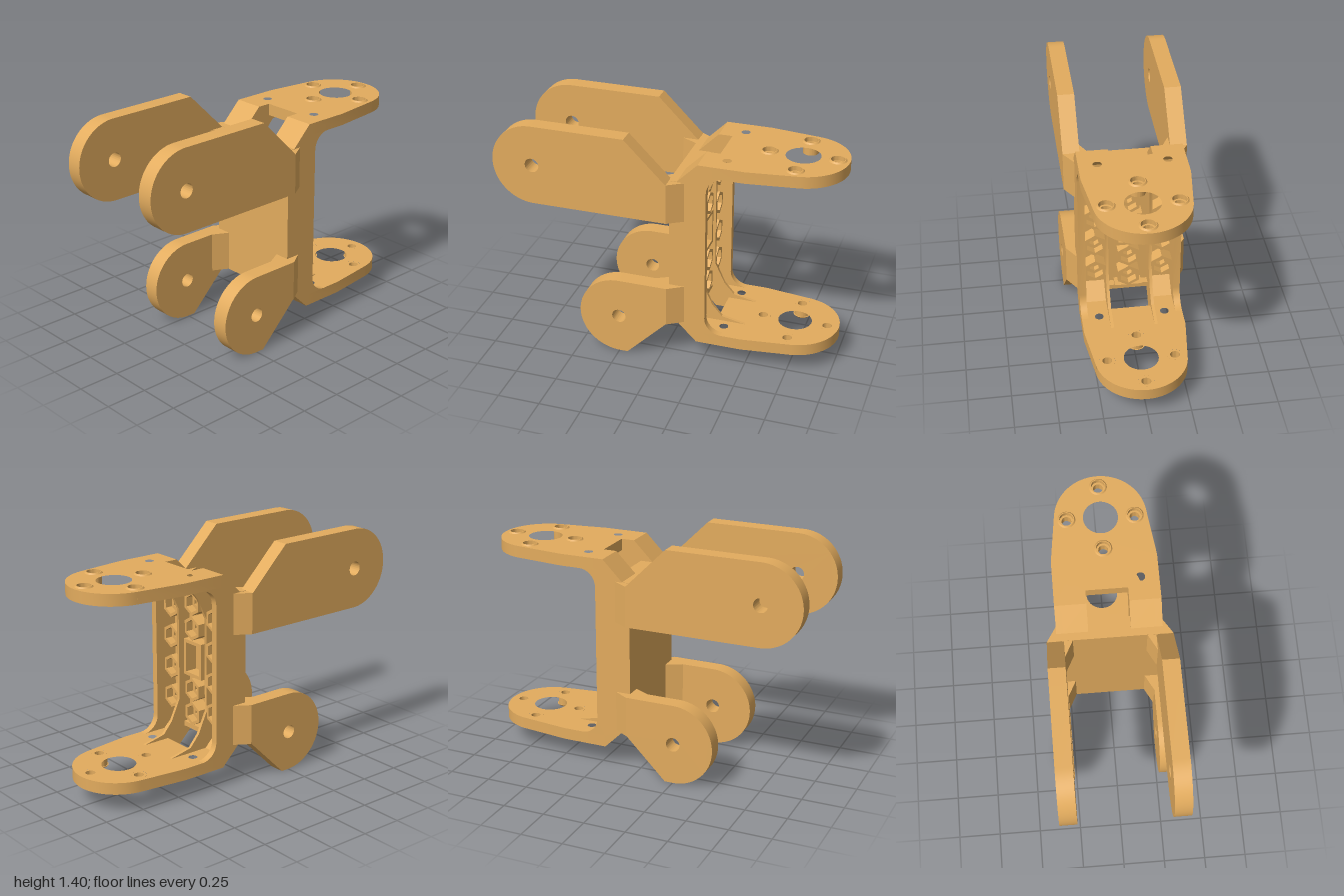
import * as THREE from 'three';
import { toCreasedNormals } from 'three/addons/utils/BufferGeometryUtils.js';

const material = new THREE.MeshStandardMaterial({ color: 0xe3ac5e });
const MID = 0.7; // height of the horizontal symmetry plane

function part(name, geometry, parent) {
  const mesh = new THREE.Mesh(toCreasedNormals(geometry, 0.6), material);
  mesh.name = name;
  parent.add(mesh);
  return mesh;
}

const polygon = (pts) => new THREE.Shape(pts.map(([a, b]) => new THREE.Vector2(a, b)));

function hole(shape, a, b, r) {
  shape.holes.push(new THREE.Path().absarc(a, b, r, 0, Math.PI * 2, true));
}

const extrude = (shape, depth) =>
  new THREE.ExtrudeGeometry(shape, { depth, bevelEnabled: false, curveSegments: 24 });

// Side profile (z, y) spanning x0..x1
const alongX = (shape, x0, x1) => extrude(shape, x1 - x0).rotateY(-Math.PI / 2).translate(x1, 0, 0);
// Plan profile (x, z) spanning y0..y1
const alongY = (shape, y0, y1) => extrude(shape, y1 - y0).rotateX(Math.PI / 2).translate(0, y1, 0);

function box(name, x0, x1, y0, y1, z0, z1, parent) {
  const g = new THREE.BoxGeometry(x1 - x0, y1 - y0, z1 - z0);
  g.translate((x0 + x1) / 2, (y0 + y1) / 2, (z0 + z1) / 2);
  part(name, g, parent);
}

// Mirror a half profile in y to close a symmetric outline
const mirrored = (half) => [...half, ...half.slice().reverse().map(([z, y]) => [z, 2 * MID - y])];

function addFlange(parent) {
  const s = new THREE.Shape();
  s.moveTo(0.12, -0.21);
  s.lineTo(0.3, -0.21);
  s.lineTo(0.3, -0.48);
  s.lineTo(0.263, -0.77);
  s.absarc(0, -0.735, 0.265, -0.132, -Math.PI + 0.132, true);
  s.lineTo(-0.3, -0.48);
  s.lineTo(-0.3, -0.21);
  s.lineTo(-0.12, -0.21);
  s.lineTo(-0.12, -0.29);
  s.lineTo(0.12, -0.29);
  s.closePath();

  const screws = [[0, -0.93], [0, -0.54], [0.195, -0.735], [-0.195, -0.735]];
  hole(s, 0, -0.735, 0.1);
  for (const [x, z] of screws) hole(s, x, z, 0.045);
  for (const x of [-0.195, 0.195]) hole(s, x, -0.35, 0.026);
  part('flange', alongY(s, 0.12, 0.19), parent);

  // Stepped screw seats with a slightly raised rim
  const seat = [[0.045, 0.112], [0.052, 0.12], [0.045, 0.12], [0.045, 0.19], [0.028, 0.19],
    [0.028, 0.14], [0.04, 0.14], [0.04, 0.112], [0.045, 0.112]].map((p) => new THREE.Vector2(...p));
  for (const [x, z] of screws) {
    part('screwSeat', new THREE.LatheGeometry(seat, 24), parent).position.set(x, 0, z);
  }
}

function addArm(parent, side, reach) {
  const arm = new THREE.Shape();
  const r = 0.2425;
  arm.moveTo(-0.045, 0.245);
  arm.lineTo(0.2, 0);
  arm.lineTo(reach, 0);
  arm.absarc(reach, r, r, -Math.PI / 2, Math.PI / 2, false);
  arm.lineTo(-0.045, 2 * r);
  arm.closePath();
  hole(arm, reach, r, 0.042);
  const [x0, x1] = side > 0 ? [0.26, 0.357] : [-0.357, -0.26];
  part('arm', alongX(arm, x0, x1), parent);

  // Tapered root joining the arm to the bracket, with an inner gusset
  const root = [[0.357, -0.045], [0.3, -0.135], [0.28, -0.135], [0.28, -0.05],
    [0.21, -0.045], [0.26, 0.05], [0.27, 0.045], [0.27, -0.045]];
  part('armRoot', alongY(polygon(root.map(([x, z]) => [side * x, z])), 0.242, 0.485), parent);
}

// Lower half: flange, sloped corner webs and a pair of arms
function createHalf(name, reach) {
  const half = new THREE.Group();
  half.name = name;
  addFlange(half);
  const web = polygon([[-0.09, 0.24], [-0.21, 0.12], [-0.21, 0.19], [-0.12, 0.28]]);
  part('cornerWeb', alongX(web, 0.12, 0.26), half);
  part('cornerWeb', alongX(web, -0.26, -0.12), half);
  box('windowLip', -0.12, 0.12, 0.24, 0.27, -0.165, -0.12, half);
  box('crossRail', -0.08, 0.08, 0.27, 0.29, -0.195, -0.12, half);
  for (const side of [-1, 1]) addArm(half, side, reach);
  return half;
}

function hexRing(outer, inner, depth) {
  const corners = (r) => Array.from({ length: 6 }, (_, i) => {
    const a = Math.PI / 6 + (i * Math.PI) / 3;
    return new THREE.Vector2(r * Math.cos(a), r * Math.sin(a));
  });
  const s = new THREE.Shape(corners(outer));
  s.holes.push(new THREE.Path(corners(inner).reverse()));
  return extrude(s, depth);
}

function addNutPocket(parent, x, y) {
  part('nutPocket', hexRing(0.073, 0.053, 0.085), parent).position.set(x, y, -0.2);
  part('nutSeat', hexRing(0.055, 0.03, 0.04), parent).position.set(x, y, -0.155);
}

export function createModel() {
  const model = new THREE.Group();
  model.name = 'hingeBracket';

  const lower = createHalf('lowerHalf', 0.25);
  const upper = createHalf('upperHalf', 0.7575);
  upper.rotation.z = Math.PI;
  upper.position.y = 2 * MID;
  model.add(lower, upper);

  // Back plate
  box('plate', -0.26, 0.26, 0.24, 1.16, -0.12, -0.045, model);

  // Outer side rims with rounded inner corners
  const rimHalf = [[-0.045, 0.24], [-0.09, 0.24], [-0.21, 0.12], [-0.21, 0.19], [-0.36, 0.19]];
  const arc = [];
  for (let i = 1; i <= 8; i++) {
    const a = -Math.PI / 2 + (i * Math.PI) / 16;
    arc.push([-0.36 + 0.1 * Math.cos(a), 0.29 + 0.1 * Math.sin(a)]);
  }
  const rim = polygon(mirrored([...rimHalf, ...arc]));
  part('sideRim', alongX(rim, 0.26, 0.3), model);
  part('sideRim', alongX(rim, -0.3, -0.26), model);

  // Inner stiffening ribs flanking the windows
  const rib = polygon(mirrored([[-0.115, 0.275], [-0.2, 0.19], [-0.46, 0.19], [-0.32, 0.22],
    [-0.26, 0.29], [-0.2, 0.42]]));
  part('rib', alongX(rib, 0.12, 0.138), model);
  part('rib', alongX(rib, -0.138, -0.12), model);

  // Hexagonal nut pockets inside the channel
  for (const x of [-0.198, 0.198]) {
    for (let i = 0; i < 4; i++) addNutPocket(model, x, MID + (i - 1.5) * 0.19);
  }
  for (const y of [MID - 0.19, MID + 0.19, MID - 0.34, MID + 0.34]) addNutPocket(model, 0, y);

  // Rectangular frame in the middle of the channel
  const frame = polygon([[-0.08, -0.11], [0.08, -0.11], [0.08, 0.11], [-0.08, 0.11]]);
  frame.holes.push(new THREE.Path([[-0.06, -0.09], [-0.06, 0.09], [0.06, 0.09], [0.06, -0.09]]
    .map((p) => new THREE.Vector2(...p))));
  part('centreFrame', extrude(frame, 0.08), model).position.set(0, MID, -0.195);

  return model;
}
